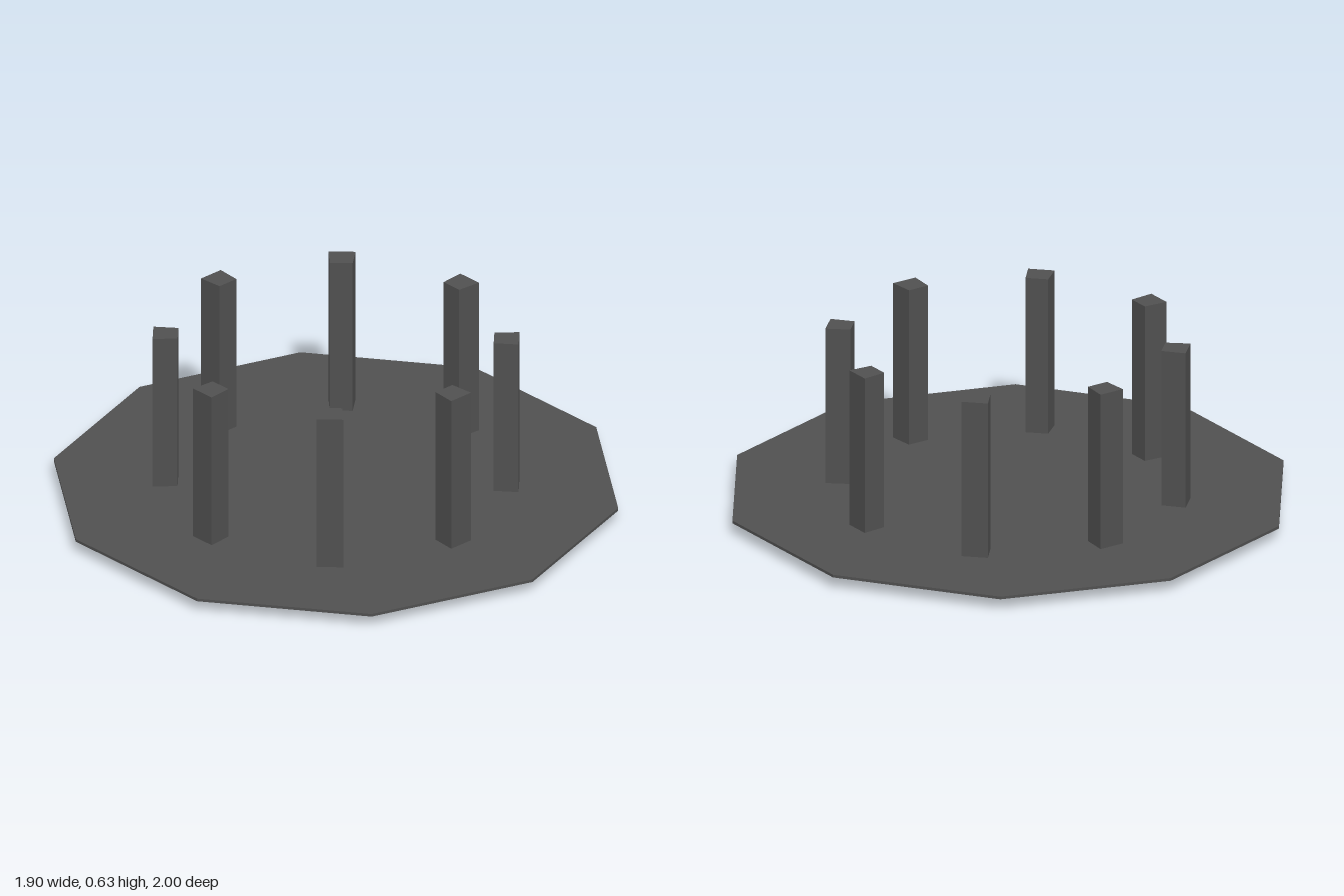
import * as THREE from 'three';

const PILLARS = 8;
const INNER = 0.55, OUTER = 0.637;          // radial extent of each pillar
const INNER_HALF = 0.04, OUTER_HALF = 0.047; // half widths, wedge tapering to the centre
const HEIGHT = 0.63;

export function createModel() {
  const group = new THREE.Group();
  const material = new THREE.MeshStandardMaterial({ color: 0x505050, flatShading: true });

  // thin ten-sided floor with a corner facing front and back
  const floor = new THREE.Mesh(new THREE.CylinderGeometry(1, 1, 0.01, 10), material);
  floor.name = 'floorPlate';
  floor.position.y = 0.047;
  group.add(floor);

  // wedge-shaped pillar section, pointing outward along +z once laid flat
  const section = new THREE.Shape([
    new THREE.Vector2(-OUTER_HALF, -OUTER),
    new THREE.Vector2(OUTER_HALF, -OUTER),
    new THREE.Vector2(INNER_HALF, -INNER),
    new THREE.Vector2(-INNER_HALF, -INNER),
  ]);
  const pillarGeometry = new THREE.ExtrudeGeometry(section, { depth: HEIGHT, bevelEnabled: false });
  pillarGeometry.rotateX(-Math.PI / 2);

  // ring of pillars passing through the floor
  for (let i = 0; i < PILLARS; i++) {
    const pillar = new THREE.Mesh(pillarGeometry, material);
    pillar.name = `pillar${i + 1}`;
    pillar.rotation.y = (i / PILLARS) * Math.PI * 2;
    group.add(pillar);
  }
  return group;
}
